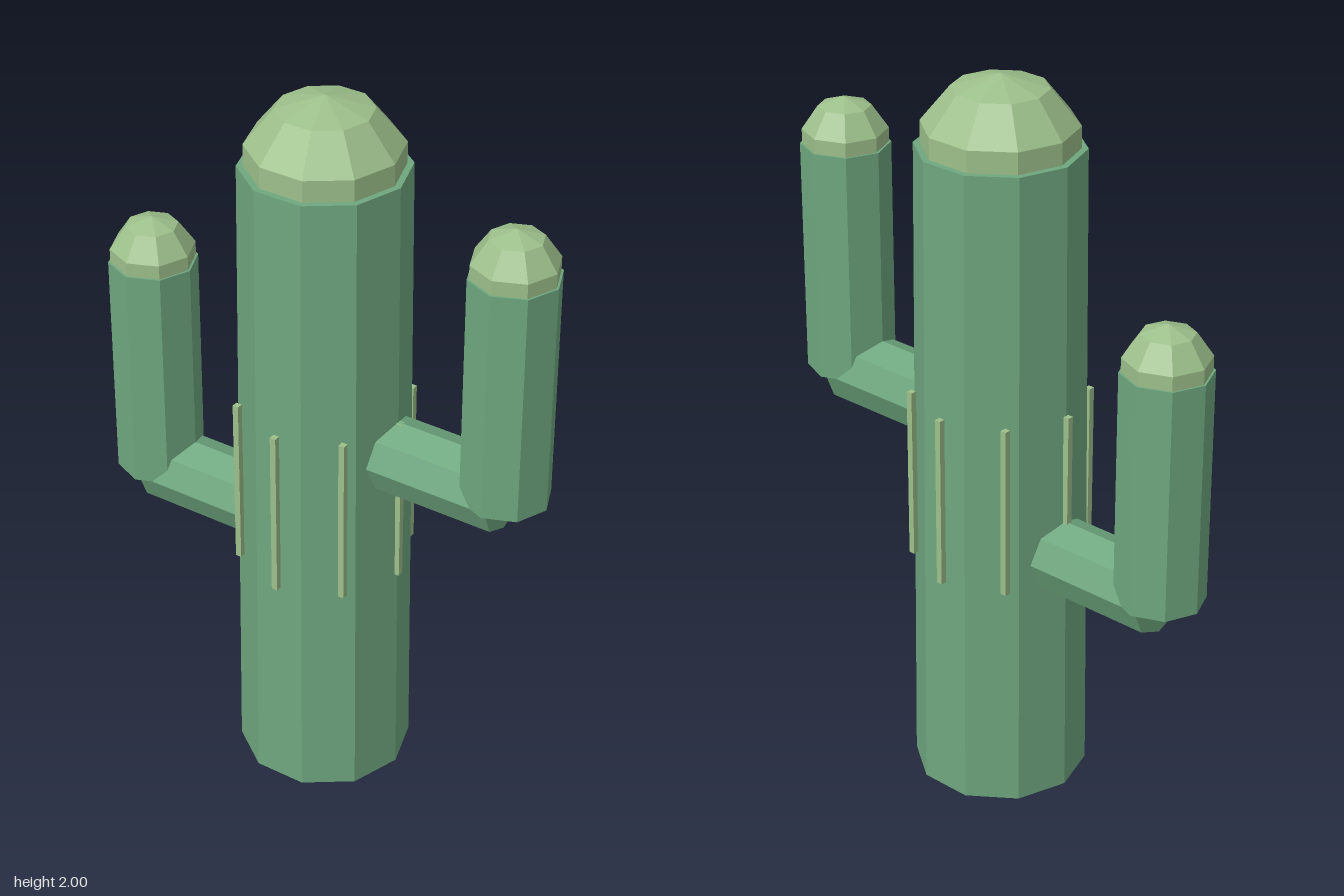
import * as THREE from 'three';

const green = new THREE.MeshStandardMaterial({ color: 0x6fa77f, flatShading: true });
const paleGreen = new THREE.MeshStandardMaterial({ color: 0x9dc08b, flatShading: true });

function addMesh(parent, name, geometry, material, x, y, z) {
  const mesh = new THREE.Mesh(geometry, material);
  mesh.name = name;
  mesh.position.set(x, y, z);
  parent.add(mesh);
  return mesh;
}

// Faceted dome whose lower half sits inside the stem
function addCap(parent, name, radius, height, sides, x, y) {
  const geometry = new THREE.SphereGeometry(radius, sides, 5);
  geometry.scale(1, height / radius, 1);
  return addMesh(parent, name, geometry, paleGreen, x, y, 0);
}

// Elbowed arm: horizontal branch, upright stem and dome
function createArm(name, side, y) {
  const arm = new THREE.Group();
  arm.name = name;
  const reach = 0.547, inner = 0.15, stemHeight = 0.645;
  const branch = new THREE.CylinderGeometry(0.102, 0.102, reach - inner, 8);
  branch.rotateZ(Math.PI / 2);
  addMesh(arm, 'branch', branch, green, side * (reach + inner) / 2, y, 0);
  const stem = new THREE.CylinderGeometry(0.12, 0.12, stemHeight, 8);
  addMesh(arm, 'armStem', stem, green, side * reach, y + stemHeight / 2, 0);
  addCap(arm, 'armCap', 0.12, 0.127, 8, side * reach, y + stemHeight);
  return arm;
}

export function createModel() {
  const cactus = new THREE.Group();
  cactus.name = 'cactus';

  // Tapered ten-sided trunk with flat faces to front and back
  const trunk = new THREE.CylinderGeometry(0.22, 0.236, 1.81, 10);
  trunk.rotateY(Math.PI / 10);
  addMesh(cactus, 'trunk', trunk, green, 0, 0.905, 0);
  addCap(cactus, 'trunkCap', 0.213, 0.19, 10, 0, 1.81);

  cactus.add(createArm('leftArm', 1, 1.03), createArm('rightArm', -1, 0.72));

  // Eight slim ribs around the trunk
  const rib = new THREE.BoxGeometry(0.017, 0.48, 0.017);
  for (let i = 0; i < 8; i++) {
    const a = (i * Math.PI) / 4;
    addMesh(cactus, 'rib', rib, paleGreen, 0.232 * Math.sin(a), 0.89, 0.232 * Math.cos(a));
  }
  return cactus;
}
